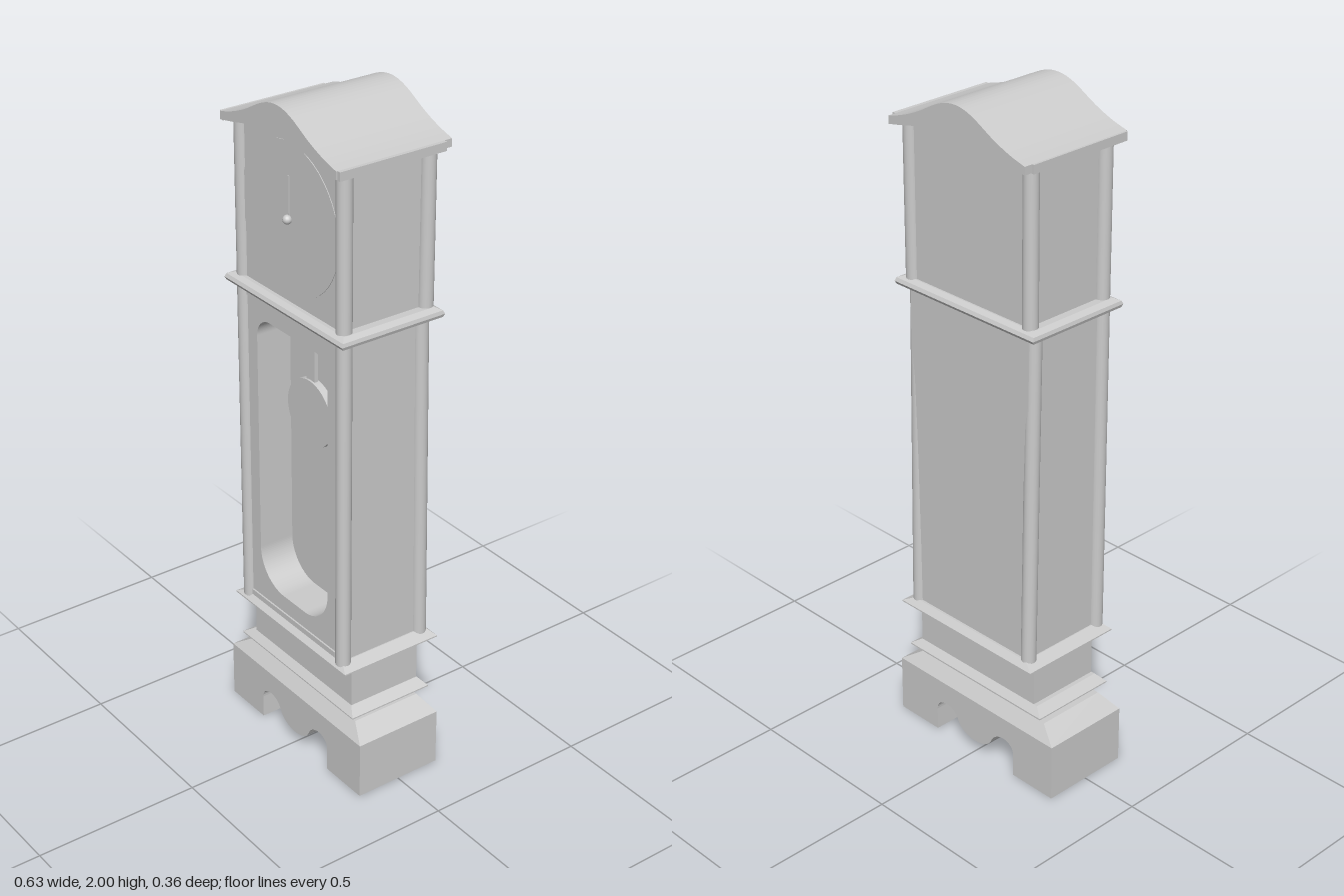
import * as THREE from 'three';

const CX = 0.012; // the case sits slightly off the centre of its foot

export function createModel() {
  const clock = new THREE.Group();
  clock.name = 'longcaseClock';
  const mat = new THREE.MeshStandardMaterial({ color: 0xcccccc });

  const add = (name, geo, x = 0, y = 0, z = 0) => {
    const m = new THREE.Mesh(geo, mat);
    m.name = name;
    m.position.set(x, y, z);
    clock.add(m);
    return m;
  };
  const box = (name, x0, x1, y0, y1, z0, z1) =>
    add(name, new THREE.BoxGeometry(x1 - x0, y1 - y0, z1 - z0),
      (x0 + x1) / 2, (y0 + y1) / 2, (z0 + z1) / 2);
  const extrude = (name, shape, z0, z1, x = 0) =>
    add(name, new THREE.ExtrudeGeometry(shape, { depth: z1 - z0, bevelEnabled: false, curveSegments: 16 }), x, 0, z0);

  // Rectangular moulding through sections [half width, y, half depth], bottom to top
  const moulding = (name, sections, x = 0, z = 0) => {
    const pos = [];
    const ring = ([w, y, d]) => [[-w, y, d], [w, y, d], [w, y, -d], [-w, y, -d]];
    const quad = (a, b, c, d) => pos.push(...a, ...b, ...c, ...a, ...c, ...d);
    const rings = sections.map(ring);
    for (let i = 0; i < rings.length - 1; i++) {
      for (let k = 0; k < 4; k++) {
        const n = (k + 1) % 4;
        quad(rings[i][k], rings[i][n], rings[i + 1][n], rings[i + 1][k]);
      }
    }
    quad(...rings[0].slice().reverse());
    quad(...rings[rings.length - 1]);
    const g = new THREE.BufferGeometry();
    g.setAttribute('position', new THREE.Float32BufferAttribute(pos, 3));
    g.computeVertexNormals();
    return add(name, g, x, 0, z);
  };

  // Round column between two points
  const column = (name, a, b, r) => {
    const dir = b.clone().sub(a);
    const m = add(name, new THREE.CylinderGeometry(r, r, dir.length(), 20));
    m.position.copy(a).addScaledVector(dir, 0.5);
    m.quaternion.setFromUnitVectors(new THREE.Vector3(0, 1, 0), dir.normalize());
  };

  // Foot with a scalloped cut-out
  const foot = new THREE.Shape();
  foot.moveTo(-0.315, 0);
  foot.lineTo(-0.16, 0);
  foot.lineTo(-0.16, 0.07);
  foot.bezierCurveTo(-0.16, 0.115, -0.09, 0.12, -0.07, 0.075);
  foot.bezierCurveTo(-0.05, 0.025, 0.05, 0.025, 0.07, 0.075);
  foot.bezierCurveTo(0.09, 0.12, 0.16, 0.115, 0.16, 0.07);
  foot.lineTo(0.16, 0);
  foot.lineTo(0.315, 0);
  foot.lineTo(0.315, 0.175);
  foot.lineTo(-0.315, 0.175);
  foot.closePath();
  extrude('foot', foot, -0.138, 0.138);
  moulding('footTop', [[0.315, 0.175, 0.138], [0.255, 0.215, 0.11]]);

  // Plinth and its mouldings
  moulding('plinthMoulding', [
    [0.235, 0.2, 0.108], [0.235, 0.222, 0.108], [0.27, 0.243, 0.135],
    [0.27, 0.247, 0.135], [0.24, 0.267, 0.117],
  ], 0.006);
  box('plinth', CX - 0.233, CX + 0.233, 0.25, 0.41, -0.116, 0.116);
  moulding('plinthLedge', [[0.265, 0.404, 0.163], [0.265, 0.408, 0.163], [0.23, 0.425, 0.145]], CX);

  // Trunk with a rounded window
  const front = new THREE.Shape();
  front.moveTo(-0.227, 0.41);
  front.lineTo(0.227, 0.41);
  front.lineTo(0.227, 1.42);
  front.lineTo(-0.227, 1.42);
  front.closePath();
  const win = new THREE.Path();
  const [w, b, t, rb, rt] = [0.16, 0.495, 1.34, 0.11, 0.06];
  win.moveTo(-w, b + rb);
  win.lineTo(-w, t - rt);
  win.absarc(-w + rt, t - rt, rt, Math.PI, Math.PI / 2, true);
  win.absarc(w - rt, t - rt, rt, Math.PI / 2, 0, true);
  win.absarc(w - rb, b + rb, rb, 0, -Math.PI / 2, true);
  win.absarc(-w + rb, b + rb, rb, -Math.PI / 2, -Math.PI, true);
  front.holes.push(win);
  extrude('trunkFront', front, 0.035, 0.145, CX);
  box('trunkBack', CX - 0.227, CX + 0.227, 0.41, 1.42, -0.138, 0.035);
  box('trunkLowerStrip', CX - 0.2, CX + 0.2, 0.425, 0.442, 0.14, 0.15);
  box('trunkUpperStrip', CX - 0.2, CX + 0.2, 1.39, 1.415, 0.14, 0.15);

  // Pendulum
  box('pendulumRod', -0.01, 0.026, 1.15, 1.345, 0.068, 0.08);
  const bob = add('pendulumBob', new THREE.CylinderGeometry(0.1, 0.1, 0.022, 40), 0.01, 1.09, 0.075);
  bob.rotation.x = Math.PI / 2;

  // Waist moulding
  moulding('waistMoulding', [
    [0.245, 1.41, 0.148], [0.263, 1.416, 0.163], [0.266, 1.425, 0.168],
    [0.263, 1.435, 0.163], [0.245, 1.443, 0.148],
  ], CX, 0.008);

  // Roof curves, mirrored about the middle
  const mirrored = (half) => new THREE.SplineCurve([
    ...half.map(([x, y]) => new THREE.Vector2(-x, y)),
    new THREE.Vector2(...half.at(-1)).setX(0),
    ...half.slice(0, -1).reverse().map(([x, y]) => new THREE.Vector2(x, y)),
  ].filter((p, i, all) => i === 0 || p.distanceTo(all[i - 1]) > 1e-6)).getPoints(40);
  const upper = mirrored([[0.252, 1.905], [0.2, 1.92], [0.14, 1.945], [0.06, 1.987], [0, 2]]);
  const lower = mirrored([[0.252, 1.882], [0.2, 1.892], [0.14, 1.905], [0.07, 1.914], [0, 1.919]]);

  // Hood, its top following the underside of the roof
  const inside = lower.filter((p) => Math.abs(p.x) < 0.222);
  extrude('hood', new THREE.Shape([
    new THREE.Vector2(0.222, 1.42),
    new THREE.Vector2(0.222, 1.888),
    ...inside.slice().reverse().map((p) => new THREE.Vector2(p.x, p.y + 0.002)),
    new THREE.Vector2(-0.222, 1.888),
    new THREE.Vector2(-0.222, 1.42),
  ]), -0.135, 0.145, CX);
  extrude('roof', new THREE.Shape([...lower, ...upper.slice().reverse()]), -0.18, 0.184, CX - 0.002);
  for (const s of [-1, 1]) {
    const x = CX + s * 0.254;
    box('roofLip', x - 0.007, x + 0.007, 1.88, 1.905, -0.155, 0.18);
  }

  // Dial, hand and centre knob
  const dial = add('dial', new THREE.CylinderGeometry(0.213, 0.213, 0.01, 48), 0.01, 1.68, 0.142);
  dial.rotation.x = Math.PI / 2;
  box('hand', 0.008, 0.013, 1.68, 1.8, 0.145, 0.15);
  add('dialKnob', new THREE.SphereGeometry(0.013, 16, 12), 0.01, 1.68, 0.153);

  // Corner columns; the rear trunk pair leans slightly
  for (const s of [-1, 1]) {
    const x = CX + s * 0.223;
    const p = (y, z) => new THREE.Vector3(x, y, z);
    column('trunkFrontColumn', p(0.415, 0.138), p(1.415, 0.138), 0.022);
    column('trunkBackColumn', p(0.415, -0.128), p(1.415, -0.113), 0.022);
    column('hoodFrontColumn', p(1.44, 0.138), p(1.888, 0.138), 0.022);
    column('hoodBackColumn', p(1.44, -0.127), p(1.888, -0.127), 0.022);
  }
  return clock;
}
